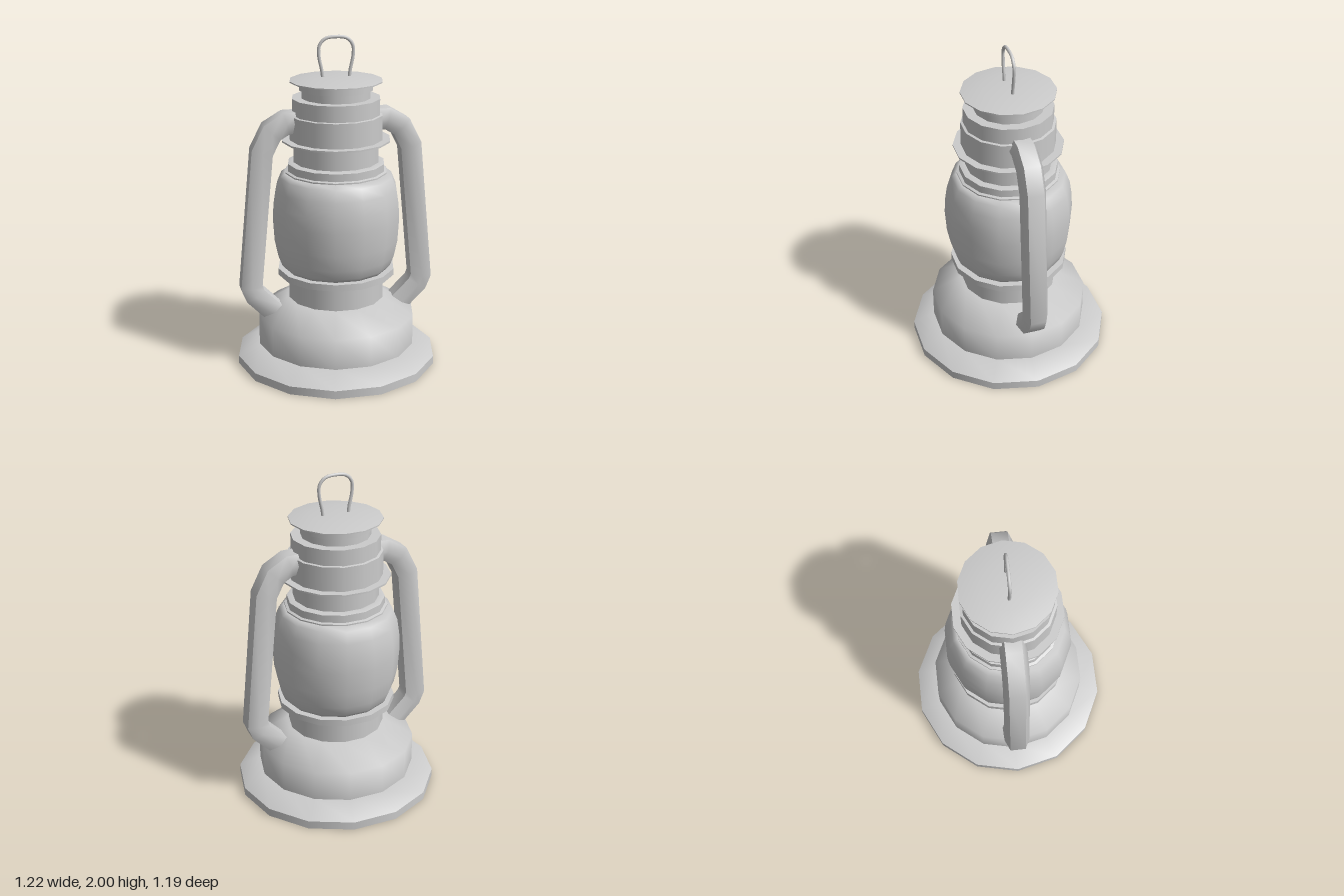
import * as THREE from 'three';
import { mergeGeometries, toCreasedNormals } from 'three/addons/utils/BufferGeometryUtils.js';

const SIDES = 14;
const CREASE = 1.05;
const material = new THREE.MeshStandardMaterial({ color: 0xcccccc });

function addMesh(group, name, geometry) {
  const mesh = new THREE.Mesh(geometry, material);
  mesh.name = name;
  group.add(mesh);
  return mesh;
}

// Closed turned part: profile of [radius, y] from bottom to top, corner on +x.
// The profile is split at sharp corners so that each run is smooth.
function turned(profile) {
  const pts = [[0, profile[0][1]], ...profile, [0, profile[profile.length - 1][1]]]
    .map(([r, y]) => new THREE.Vector2(r, y));
  const runs = [[pts[0]]];
  for (let i = 1; i < pts.length; i++) {
    runs[runs.length - 1].push(pts[i]);
    if (i === pts.length - 1) break;
    const before = pts[i].clone().sub(pts[i - 1]);
    const after = pts[i + 1].clone().sub(pts[i]);
    if (before.angleTo(after) > CREASE) runs.push([pts[i]]);
  }
  return mergeGeometries(runs.map((run) => new THREE.LatheGeometry(run, SIDES, Math.PI / 2)));
}

// Sweep a [normal, z] section along a path in the xy plane, mitred at bends
function swept(path, section) {
  const pts = path.map(([x, y]) => new THREE.Vector2(x, y));
  const n = section.length;
  const pos = [], idx = [];
  pts.forEach((p, i) => {
    const a = p.clone().sub(pts[Math.max(i - 1, 0)]).normalize();
    const b = pts[Math.min(i + 1, pts.length - 1)].clone().sub(p).normalize();
    const t = a.clone().add(b).normalize();
    const stretch = 1 / t.dot(i ? a : b);
    for (const [u, z] of section) pos.push(p.x - t.y * u * stretch, p.y + t.x * u * stretch, z);
  });
  for (let i = 0; i < pts.length - 1; i++) {
    for (let j = 0; j < n; j++) {
      const a = i * n + j, b = i * n + (j + 1) % n;
      idx.push(a, b, a + n, b, b + n, a + n);
    }
  }
  const last = (pts.length - 1) * n;
  for (let j = 1; j < n - 1; j++) {
    idx.push(0, j + 1, j, last, last + j, last + j + 1);
  }
  const g = new THREE.BufferGeometry();
  g.setAttribute('position', new THREE.Float32BufferAttribute(pos, 3));
  g.setIndex(idx);
  return toCreasedNormals(g, CREASE);
}

export function createModel() {
  const lantern = new THREE.Group();
  lantern.name = 'lantern';

  // Turned body, from the foot to the lid
  const parts = {
    foot: [[0.61, 0], [0.61, 0.05], [0.478, 0.122]],
    fuelTank: [[0.479, 0.11], [0.479, 0.305], [0.305, 0.41]],
    burnerCollar: [[0.29, 0.4], [0.29, 0.57]],
    globeSeat: [[0.355, 0.56], [0.355, 0.6]],
    globe: [[0.315, 0.6], [0.333, 0.622], [0.355, 0.68], [0.376, 0.78], [0.385, 0.92],
      [0.38, 1.01], [0.366, 1.1], [0.338, 1.168], [0.306, 1.192]],
    globeCap: [[0.306, 1.19], [0.306, 1.2], [0.29, 1.205], [0.29, 1.25], [0.255, 1.258]],
    neck: [[0.255, 1.25], [0.255, 1.39]],
    brim: [[0.324, 1.383], [0.324, 1.393]],
    chimney: [[0.277, 1.39], [0.277, 1.54], [0.262, 1.543], [0.262, 1.638]],
    vent: [[0.205, 1.63], [0.205, 1.683], [0.218, 1.685], [0.218, 1.735]],
    lid: [[0.275, 1.733], [0.275, 1.74], [0.15, 1.76]],
  };
  for (const [name, profile] of Object.entries(parts)) addMesh(lantern, name, turned(profile));

  // Hexagonal side arms from the chimney down to the tank
  const arm = swept(
    [[0.24, 1.504], [0.302, 1.503], [0.388, 1.452], [0.448, 1.333], [0.526, 0.505], [0.504, 0.45], [0.385, 0.33]],
    [[0.063, 0.048], [0, 0.077], [-0.063, 0.048], [-0.063, -0.048], [0, -0.077], [0.063, -0.048]],
  );
  addMesh(lantern, 'leftArm', arm);
  addMesh(lantern, 'rightArm', arm).rotation.y = Math.PI;

  // Wire loop on the lid
  const half = [[0.078, 1.74], [0.083, 1.79], [0.101, 1.88], [0.099, 1.94], [0.065, 1.98]];
  const loop = [...half, [0, 1.99], ...half.map(([x, y]) => [-x, y]).reverse()];
  const curve = new THREE.CatmullRomCurve3(loop.map(([x, y]) => new THREE.Vector3(x, y, 0)));
  addMesh(lantern, 'wireLoop', new THREE.TubeGeometry(curve, 32, 0.01, 8));

  return lantern;
}
